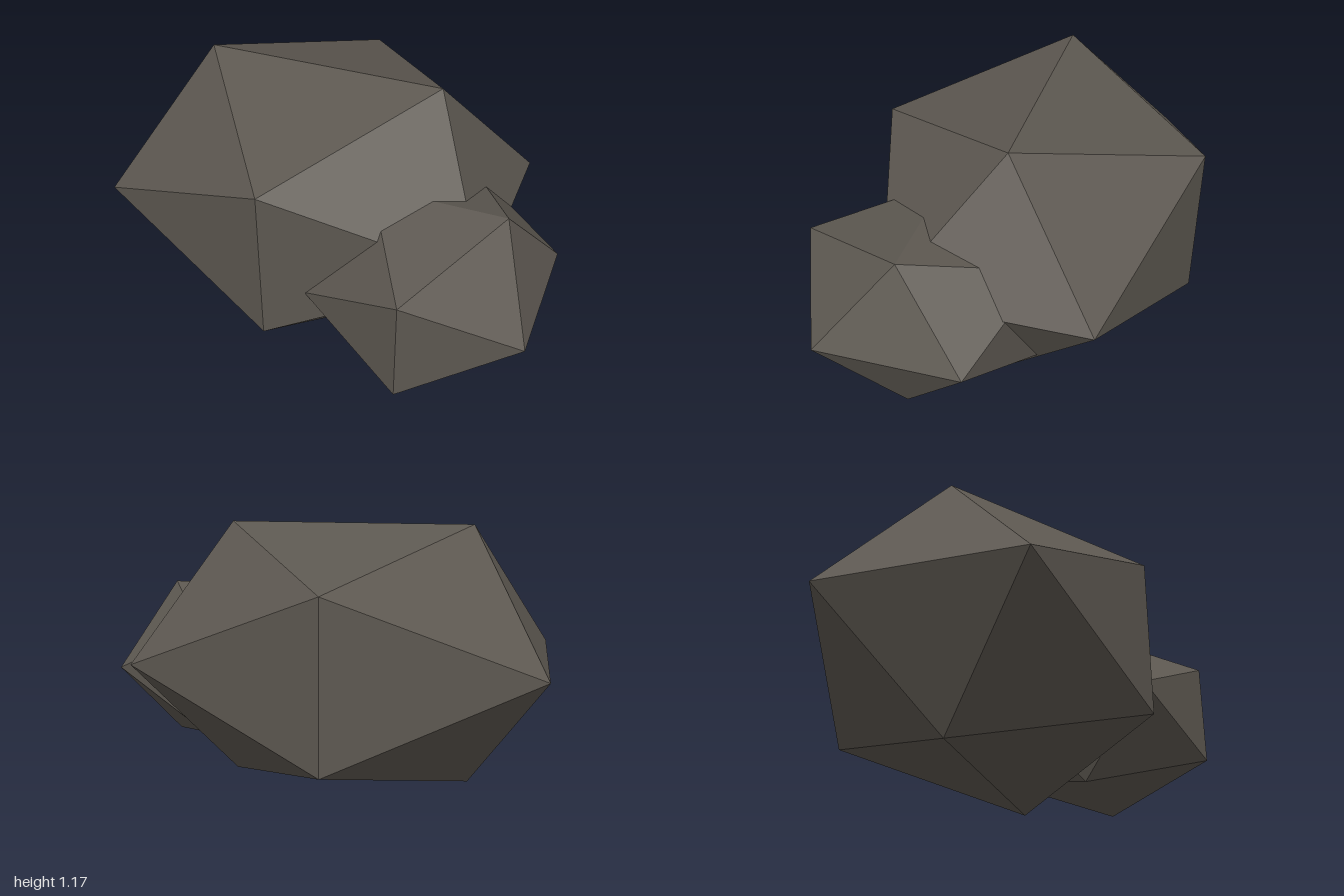
import * as THREE from 'three';

export function createModel() {
  const group = new THREE.Group();
  group.name = 'rocks';

  const stone = new THREE.MeshStandardMaterial({ color: 0x5c5750, flatShading: true });
  stone.name = 'dark stone';

  // A faceted boulder: an icosahedron stretched along each axis
  function boulder(name, center, radii) {
    const geometry = new THREE.IcosahedronGeometry(1, 0);
    geometry.scale(...radii);
    geometry.computeVertexNormals();
    const mesh = new THREE.Mesh(geometry, stone);
    mesh.name = name;
    mesh.position.set(...center);
    group.add(mesh);
  }

  boulder('largeBoulder', [-0.123, 0.587, -0.07], [1.031, 0.686, 0.857]);
  boulder('smallBoulder', [0.525, 0.46, 0.275], [0.558, 0.447, 0.614]);

  return group;
}
